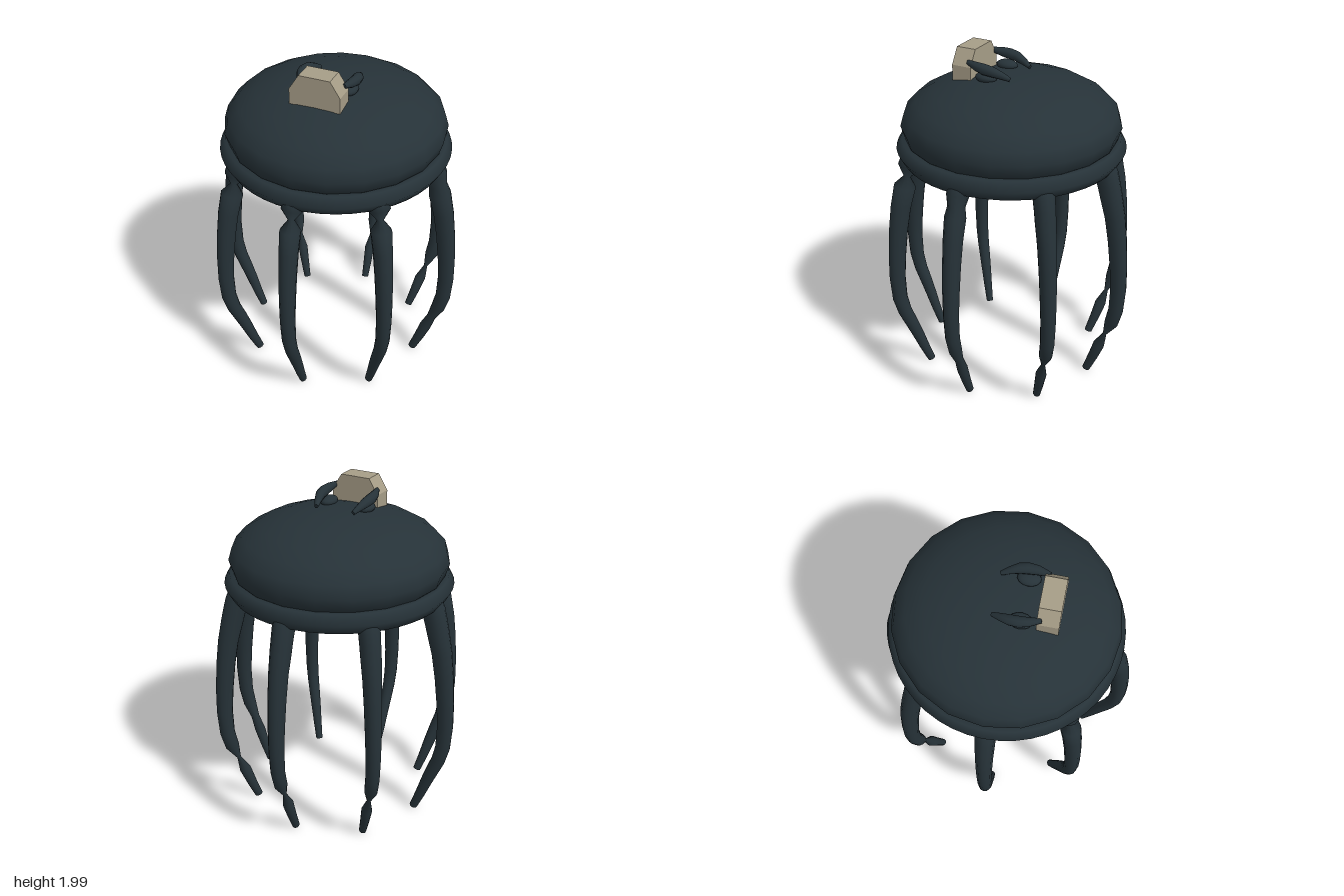
import * as THREE from 'three';

const dark = new THREE.MeshStandardMaterial({ color: 0x263238 });
dark.name = 'dark slate';
const tan = new THREE.MeshStandardMaterial({ color: 0xa69d87 });
tan.name = 'dull tan';

function add(parent, name, geometry, material, x = 0, y = 0, z = 0) {
  const mesh = new THREE.Mesh(geometry, material);
  mesh.name = name;
  mesh.position.set(x, y, z);
  parent.add(mesh);
  return mesh;
}

// Closed tube through rings of [x, y, z, radius]; ref is the rough sideways axis
function sweep(rings, ref, sides, flat = 1) {
  const pts = rings.map(r => new THREE.Vector3(r[0], r[1], r[2]));
  const pos = [], index = [];
  const last = rings.length - 1;
  pts.forEach((p, i) => {
    const t = pts[Math.min(i + 1, last)].clone().sub(pts[Math.max(i - 1, 0)]).normalize();
    const b = ref.clone().addScaledVector(t, -ref.dot(t)).normalize();
    const n = b.clone().cross(t);
    for (let j = 0; j < sides; j++) {
      const a = j / sides * Math.PI * 2;
      const v = p.clone().addScaledVector(n, rings[i][3] * Math.cos(a))
        .addScaledVector(b, rings[i][3] * flat * Math.sin(a));
      pos.push(v.x, v.y, v.z);
      if (i < last) {
        const k = (j + 1) % sides, q = i * sides;
        index.push(q + j, q + k, q + sides + j, q + k, q + sides + k, q + sides + j);
      }
    }
  });
  // End caps with their own vertices keep the rims crisp
  for (const i of [0, last]) {
    const start = pos.length / 3;
    for (let j = 0; j < sides; j++) {
      const o = (i * sides + j) * 3;
      pos.push(pos[o], pos[o + 1], pos[o + 2]);
    }
    for (let j = 1; j < sides - 1; j++) {
      if (i === 0) index.push(start, start + j + 1, start + j);
      else index.push(start, start + j, start + j + 1);
    }
  }
  const g = new THREE.BufferGeometry();
  g.setAttribute('position', new THREE.Float32BufferAttribute(pos, 3));
  g.setIndex(index);
  g.computeVertexNormals();
  return g;
}

// Leg rings: distance from axis, height, radius, narrowed at the given rings
function legGeometry(pinches) {
  const rings = [
    [0.585, 1.41, 0.07], [0.605, 1.37, 0.068], [0.622, 1.31, 0.066], [0.637, 1.25, 0.065],
    [0.668, 1.12, 0.06], [0.69, 0.97, 0.056], [0.706, 0.8, 0.052], [0.713, 0.65, 0.048],
    [0.705, 0.5, 0.045], [0.68, 0.4, 0.042], [0.643, 0.31, 0.039], [0.608, 0.22, 0.035],
    [0.572, 0.12, 0.03], [0.53, 0.015, 0.024],
  ];
  return sweep(rings.map(([r, y, w], i) => [r, y, 0, w * (pinches[i] ?? 1)]),
    new THREE.Vector3(0, 0, 1), 12, 0.9);
}

export function createModel() {
  const model = new THREE.Group();

  // Flattened round body and the band around it
  const body = add(model, 'body', new THREE.SphereGeometry(1, 20, 12), dark, 0, 1.58, 0);
  body.scale.set(0.635, 0.28, 0.635);
  const rim = add(model, 'rim', new THREE.TorusGeometry(0.6, 0.064, 6, 48), dark, 0, 1.445, 0);
  rim.rotation.x = Math.PI / 2;

  // Eight legs: front three pinched at the top, back three near the foot
  const upper = { 2: 0.3 }, lower = { 10: 0.3 };
  const pinches = [{ 2: 0.8, 10: 0.7 }, upper, upper, upper, {}, lower, lower, lower];
  pinches.forEach((p, i) => {
    const leg = add(model, 'leg' + (i + 1), legGeometry(p), dark);
    leg.rotation.y = -i * Math.PI / 4;
  });

  // Chamfered block on top
  const outline = new THREE.Shape([
    [-0.147, 1.82], [0.147, 1.82], [0.147, 1.91], [0.09, 2], [-0.09, 2], [-0.147, 1.91],
  ].map(([x, y]) => new THREE.Vector2(x, y)));
  add(model, 'topBlock',
    new THREE.ExtrudeGeometry(outline, { depth: 0.118, bevelEnabled: false }), tan, 0, 0, 0.18);

  // Curved claws holding the block, each on a small knob
  for (const s of [-1, 1]) {
    const side = s > 0 ? 'left' : 'right';
    const claw = [
      [0.118, 1.872, -0.055, 0.012], [0.133, 1.892, -0.01, 0.021], [0.147, 1.91, 0.04, 0.029],
      [0.151, 1.918, 0.09, 0.031], [0.146, 1.925, 0.14, 0.026], [0.13, 1.935, 0.205, 0.013],
    ].map(([x, y, z, r]) => [x * s, y, z, r]);
    add(model, side + 'Claw', sweep(claw, new THREE.Vector3(0, 1, 0), 10), dark);
    const knob = add(model, side + 'Knob', new THREE.SphereGeometry(1, 14, 10), dark, 0.122 * s, 1.862, 0.095);
    knob.scale.set(0.045, 0.03, 0.065);
  }
  return model;
}
